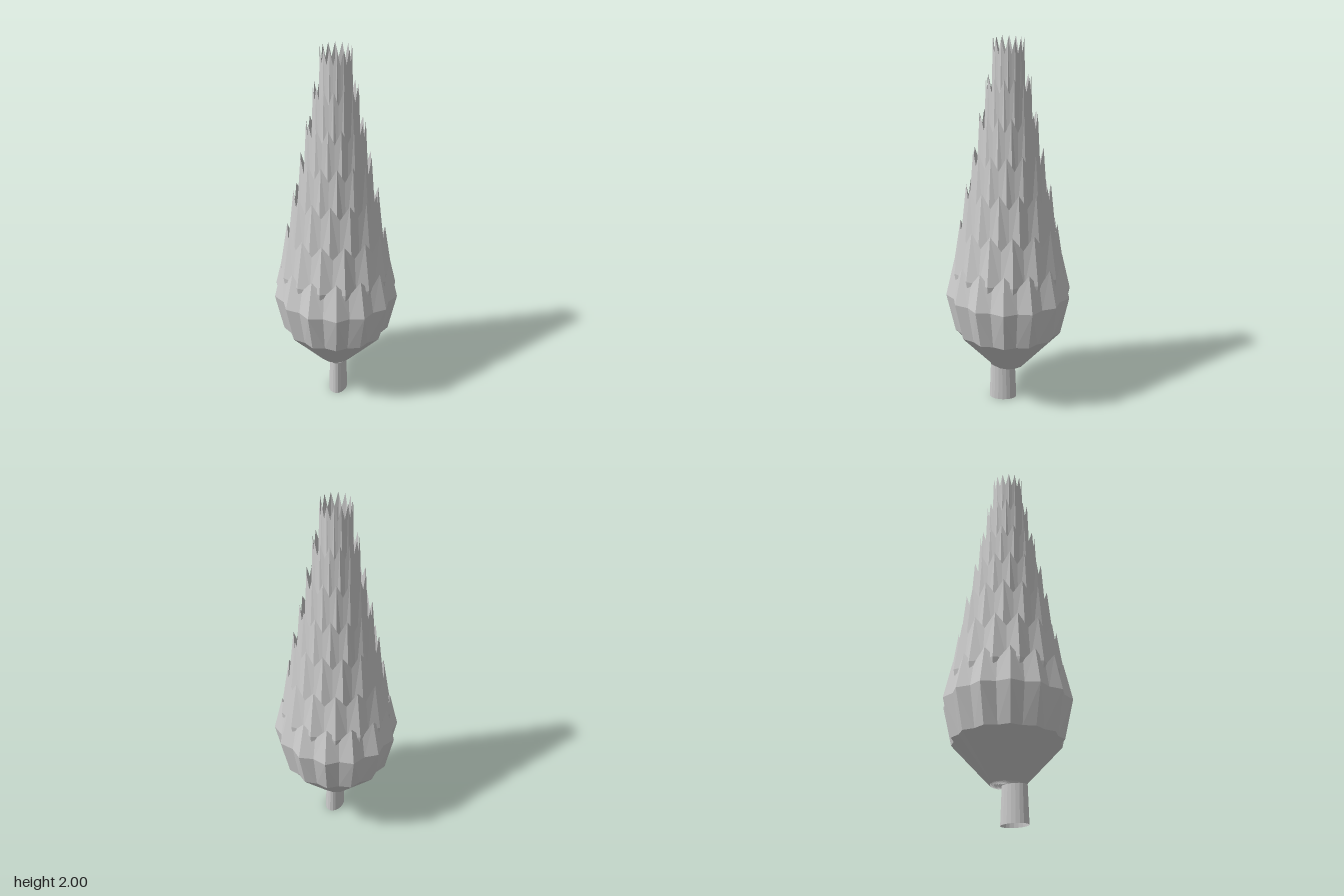
import * as THREE from 'three';

const PETALS = 14;
const BASE_Y = 0.2;

// One pleated, open shell: ridges and valleys alternate, rim ends in pointed tips
function petalShell(tipY, tipR, twist) {
  const h = tipY - BASE_Y;
  // rows of [height fraction, ridge radius, valley radius], relative to the tip radius
  const rows = [[0, 0.31, 0.3], [0.35, 1.0, 0.93], [0.685, 1.16, 1.065], [1, 1, 0.98]];
  const cols = PETALS * 2;
  const pos = [];
  const index = [];
  rows.forEach(([t, ridge, valley], row) => {
    for (let i = 0; i < cols; i++) {
      const isRidge = i % 2 === 0;
      const r = tipR * (isRidge ? ridge : valley);
      const a = (i / cols) * Math.PI * 2 + twist;
      const notch = row === rows.length - 1 && !isRidge ? 0.075 : 0;
      pos.push(r * Math.cos(a), BASE_Y + t * h - notch, -r * Math.sin(a));
    }
  });
  for (let row = 0; row < rows.length - 1; row++) {
    for (let i = 0; i < cols; i++) {
      const j = (i + 1) % cols;
      const a = row * cols + i, b = row * cols + j;
      const c = a + cols, d = b + cols;
      // diagonals mirror about each ridge
      if (i % 2 === 0) index.push(a, b, c, b, d, c);
      else index.push(a, b, d, a, d, c);
    }
  }
  const geo = new THREE.BufferGeometry();
  geo.setAttribute('position', new THREE.Float32BufferAttribute(pos, 3));
  geo.setIndex(index);
  const flat = geo.toNonIndexed();
  flat.computeVertexNormals();
  return flat;
}

export function createModel() {
  const group = new THREE.Group();
  const grey = new THREE.MeshStandardMaterial({ color: 0xcccccc, side: THREE.DoubleSide });
  grey.name = 'pale grey';
  grey.flatShading = true;
  const stemGrey = grey;
  const green = new THREE.MeshStandardMaterial({ color: 0x0f6b14, side: THREE.DoubleSide });
  green.name = 'green';

  // Nested shells, each taller and narrower, turned a little from the last
  const shells = [
    [0.83, 0.293], [1.03, 0.26], [1.24, 0.222], [1.43, 0.185],
    [1.62, 0.15], [1.81, 0.114], [2.0, 0.08],
  ];
  const petals = new THREE.Group();
  petals.name = 'petals';
  shells.forEach(([y, r], k) => {
    const mesh = new THREE.Mesh(petalShell(y, r, k * 0.157), grey);
    mesh.name = 'petalShell' + (k + 1);
    petals.add(mesh);
  });
  group.add(petals);

  // Short oval stem, set a little off centre
  const stem = new THREE.Mesh(new THREE.CylinderGeometry(0.9, 1, 0.2, 20, 1, true), stemGrey);
  stem.name = 'stem';
  stem.scale.set(0.05, 1, 0.075);
  stem.position.set(0.02, 0.1, 0.03);
  group.add(stem);

  // Green core at the top of the stem, seen down through the shells
  const core = new THREE.Mesh(new THREE.CircleGeometry(1, 20), green);
  core.name = 'stemCore';
  core.rotation.x = -Math.PI / 2;
  core.scale.set(0.04, 0.035, 1);
  core.position.set(0.015, 0.197, 0.024);
  group.add(core);

  return group;
}
